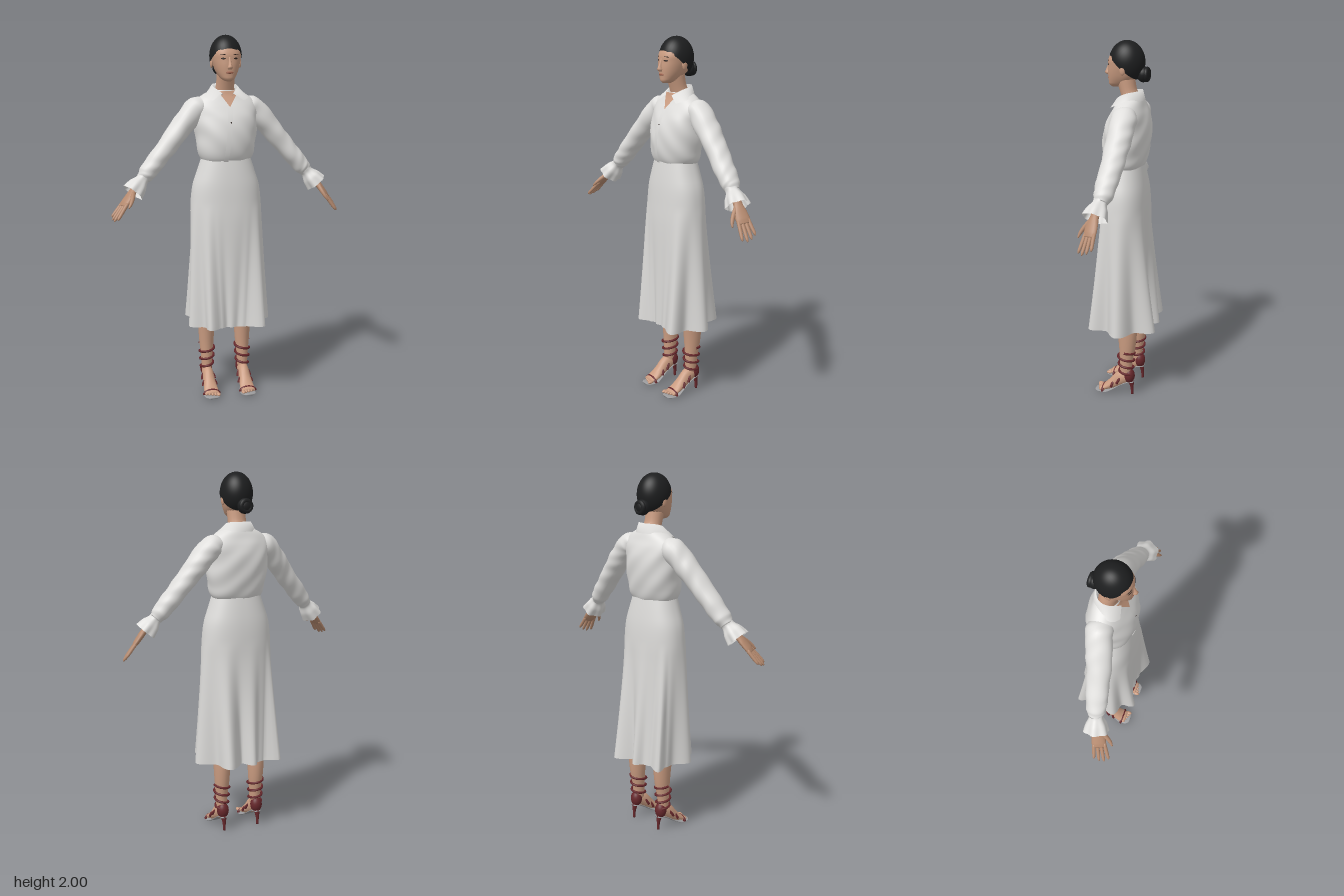
import * as THREE from 'three';

const mat = (name, color, double) => {
  const m = new THREE.MeshStandardMaterial({ color });
  m.name = name;
  if (double) m.side = THREE.DoubleSide;
  return m;
};
const V = (x, y, z) => new THREE.Vector3(x, y, z);

// Skin a list of point rows; closed rows wrap round, caps fill the two ends
function loft(rows, closed = true, caps = false) {
  const n = rows[0].length, pos = [], idx = [];
  rows.forEach(r => r.forEach(p => pos.push(p.x, p.y, p.z)));
  for (let i = 0; i < rows.length - 1; i++)
    for (let j = 0; j < (closed ? n : n - 1); j++) {
      const k = (j + 1) % n, a = i * n + j, b = i * n + k;
      idx.push(a, a + n, b, b, a + n, b + n);
    }
  if (caps) [0, rows.length - 1].forEach((i, end) => {
    const c = rows[i].reduce((s, p) => s.add(p), V(0, 0, 0)).divideScalar(n), ci = pos.length / 3;
    pos.push(c.x, c.y, c.z);
    for (let j = 0; j < n; j++) {
      const a = i * n + j, b = i * n + (j + 1) % n;
      if (end) idx.push(ci, b, a); else idx.push(ci, a, b);
    }
  });
  const g = new THREE.BufferGeometry();
  g.setAttribute('position', new THREE.Float32BufferAttribute(pos, 3));
  g.setIndex(idx);
  g.computeVertexNormals();
  return g;
}

// Tapered limb along points [x, y, z, radiusU, radiusV]
function limb(pts, { ref = V(0, 0, 1), seg = 24, sides = 18, mod = () => 1, caps = true } = {}) {
  const path = new THREE.CatmullRomCurve3(pts.map(p => V(p[0], p[1], p[2])));
  const rad = new THREE.CatmullRomCurve3(pts.map(p => V(p[3], p[4] ?? p[3], 0)));
  const rows = [];
  for (let i = 0; i <= seg; i++) {
    const t = i / seg, c = path.getPoint(t), r = rad.getPoint(t), T = path.getTangent(t);
    const U = T.clone().cross(ref).normalize(), W = U.clone().cross(T), row = [];
    for (let j = 0; j < sides; j++) {
      const a = j / sides * Math.PI * 2, s = mod(a, t);
      row.push(c.clone().addScaledVector(U, Math.cos(a) * r.x * s).addScaledVector(W, Math.sin(a) * r.y * s));
    }
    rows.push(row);
  }
  return loft(rows, true, caps);
}

// Upright body from levels [y, halfWidth, frontZ, backZ]
const POW = 0.88;
const profile = levels => {
  const it = new THREE.CubicInterpolant(new Float32Array(levels.map(l => l[0])),
    new Float32Array(levels.flatMap(l => l.slice(1))), 3, new Float32Array(3));
  return y => { const [w, f, b] = it.evaluate(y); return { w, zc: (f + b) / 2, rz: (f - b) / 2 }; };
};
const sPow = v => Math.sign(v) * Math.abs(v) ** POW;
function body(levels, { rows = 30, sides = 48, mod = p => p, caps = true } = {}) {
  const prof = profile(levels), y0 = levels[0][0], y1 = levels.at(-1)[0], out = [];
  for (let i = 0; i <= rows; i++) {
    const y = y0 + (y1 - y0) * i / rows, s = prof(y), row = [];
    for (let j = 0; j < sides; j++) {
      const a = j / sides * Math.PI * 2;
      row.push(mod(V(sPow(Math.cos(a)) * s.w, y, s.zc + sPow(Math.sin(a)) * s.rz), a));
    }
    out.push(row);
  }
  return loft(out, true, caps);
}

const fold = p => Math.sin(31 * p.x + 17 * p.y) * Math.sin(27 * p.y - 19 * p.z + 14 * p.x);

export function createModel() {
  const root = new THREE.Group();
  const skin = mat('skin', 0xca9c81), handSkin = mat('hand skin', 0xb58a6f), hair = mat('black hair', 0x1d1e1f);
  const shirt = mat('white shirt', 0xdfdedc, true), skirt = mat('white skirt', 0xdad9d7, true);
  const red = mat('dark red leather', 0x66272b), sole = mat('grey sole', 0x9c9c9e);
  const dark = mat('dark brown', 0x2c201c), lip = mat('lips', 0xa0634f);
  const add = (name, geo, m, parent = root) => {
    const mesh = new THREE.Mesh(geo, m);
    mesh.name = name;
    parent.add(mesh);
    return mesh;
  };
  const ball = (name, m, c, s, parent) => {
    const b = add(name, new THREE.SphereGeometry(1, 24, 16), m, parent);
    b.position.set(...c);
    b.scale.set(...s);
    return b;
  };

  // Head and face
  const head = new THREE.Group();
  head.name = 'head';
  root.add(head);
  add('face', body([[1.757, .014, .078, .03], [1.767, .032, .089, 0], [1.785, .046, .092, -.03], [1.81, .059, .094, -.06],
    [1.84, .069, .095, -.08], [1.87, .076, .093, -.09], [1.90, .079, .091, -.09], [1.94, .068, .073, -.08],
    [1.97, .045, .045, -.055]]), skin, head);
  add('nose', body([[1.818, .008, .1, .08], [1.827, .014, .114, .08], [1.84, .010, .112, .08], [1.86, .007, .103, .08],
    [1.885, .006, .094, .08]], { rows: 12, sides: 16 }), skin, head);
  ball('lips', lip, [0, 1.803, .0905], [.02, .007, .007], head);
  for (const s of [-1, 1]) {
    ball('eye', dark, [s * .032, 1.876, .084], [.014, .005, .005], head).rotation.y = s * .35;
    ball('eyebrow', dark, [s * .034, 1.896, .082], [.018, .0022, .005], head).rotation.set(0, s * .4, s * -.08);
    ball('ear', skin, [s * .078, 1.853, -.005], [.008, .027, .016], head);
  }
  const cap = new THREE.SphereGeometry(1, 40, 24, 0, Math.PI * 2, 0, 1.857);
  cap.rotateX(-.648).scale(.087, .112, .097).translate(0, 1.888, -.007);
  add('hair cap', cap, hair, head);
  ball('hair bun', hair, [-.008, 1.825, -.095], [.04, .042, .036], head);
  const coil = add('bun coil', new THREE.TorusGeometry(.027, .013, 10, 24), hair, head);
  coil.position.set(-.008, 1.825, -.115);
  add('neck', limb([[0, 1.63, -.035, .062, .05], [0, 1.69, -.03, .056, .048], [0, 1.74, -.015, .05, .045],
    [0, 1.80, 0, .05, .05]]), skin);

  // Shirt body, soft creases
  const torso = [[1.315, .122, .082, -.088], [1.345, .143, .10, -.105], [1.40, .159, .114, -.12], [1.48, .167, .115, -.13],
    [1.56, .171, .098, -.13], [1.62, .173, .07, -.118], [1.655, .158, .05, -.105], [1.685, .118, .035, -.095],
    [1.708, .07, .028, -.085]];
  add('shirt body', body(torso, {
    rows: 44, sides: 64, caps: false,
    mod: p => {
      const k = 1 + .035 * fold(p) * Math.min(1, Math.abs(1.70 - p.y) * 8);
      return V(p.x * k, p.y, p.z * k);
    },
  }), shirt);

  // Thin patch lying on the chest between two x limits
  const tProf = profile(torso);
  const patch = (y0, y1, lo, hi, lift) => {
    const rows = [];
    for (let i = 0; i <= 16; i++) {
      const y = y0 + (y1 - y0) * i / 16, s = tProf(y), row = [];
      for (let j = 0; j <= 8; j++) {
        const x = hi(y) + (lo(y) - hi(y)) * j / 8;
        row.push(V(x, y, s.zc + s.rz * (1 - Math.abs(x / s.w) ** (2 / POW)) ** (POW / 2) + lift));
      }
      rows.push(row);
    }
    return loft(rows, false);
  };
  const vee = y => Math.max(0, y - 1.62) * .68;
  add('open neckline', patch(1.62, 1.705, y => .006 - vee(y), y => .006 + vee(y), .005), skin);
  const slant = y => .006 + (y - 1.62) * .1;
  add('button placket', patch(1.33, 1.62, y => slant(y) - .012, y => slant(y) + .014, .006), shirt);
  const chest = tProf(1.54);
  ball('button', dark, [.004, 1.54, chest.zc + chest.rz + .005], [.004, .004, .003]);

  // Collar: rises at the nape and folds down to two front points
  const collar = [[], [], []];
  for (let j = 0; j <= 40; j++) {
    const u = j / 40 * 2 - 1, a = -Math.PI / 2 - u * 2.72, f = Math.abs(u) ** 3;
    const c = Math.cos(a), s = Math.sin(a);
    collar[0].push(V(c * (.086 + .12 * f), 1.69 - .035 * f, -.03 + s * (.075 + .022 * f)));
    collar[1].push(V(c * .07, 1.742 - .05 * f, -.03 + s * (.062 + .02 * f)));
    collar[2].push(V(c * .066, 1.69 - .02 * f, -.03 + s * (.06 + .015 * f)));
  }
  add('collar', loft(collar, false), shirt);

  // Flared skirt: hip sections blend into a hem with deep folds [degrees, radius]
  const hem = [[-5, .257], [18, .19], [41, .245], [60, .155], [75, .13], [88, .135], [100, .125], [112, .15], [126, .212],
    [145, .175], [163, .232], [190, .18], [206, .2], [219, .262], [232, .175], [246, .165], [261, .195], [280, .138],
    [301, .238], [328, .185], [355, .257]];
  const hemRadius = a => {
    let d = a * 180 / Math.PI;
    if (d > 355) d -= 360;
    const i = hem.findIndex(h => h[0] >= d), [d1, r1] = hem[Math.max(i, 1)], [d0, r0] = hem[Math.max(i, 1) - 1];
    return r0 + (r1 - r0) * (1 - Math.cos((d - d0) / (d1 - d0) * Math.PI)) / 2;
  };
  add('skirt', body([[.41, .203, .128, -.13], [.7, .203, .128, -.13], [1.0, .2, .127, -.13], [1.1, .196, .122, -.13],
    [1.2, .183, .115, -.123], [1.27, .16, .106, -.112], [1.355, .132, .092, -.095]], {
    rows: 40, sides: 120, caps: false,
    mod: (p, a) => {
      const f = Math.max(0, (1.1 - p.y) / .69) ** 1.15, r = hemRadius(a);
      return p.lerp(V(Math.cos(a) * r, p.y, Math.sin(a) * r), f);
    },
  }), skirt);

  // Arms: sleeve, ruffled cuff, hand
  const arm = (s, zs, wrist, tip) => {
    const g = new THREE.Group();
    g.name = s > 0 ? 'left arm' : 'right arm';
    root.add(g);
    const xy = [[.1, 1.632, .035, .05], [.158, 1.61, .063, .069], [.235, 1.53, .06, .068], [.31, 1.44, .054, .062],
      [.39, 1.345, .05, .058], [.445, 1.28, .046, .052], [.472, 1.248, .034, .036]];
    add('sleeve', limb(xy.map(([x, y, u, v], i) => [s * x, y, zs[i], u, v]), {
      seg: 48, sides: 28, mod: (a, t) => 1 + .045 * Math.sin(t * 34 + 2 * Math.sin(a + t * 5)) * Math.sin(a * 2 + t * 9),
    }), shirt, g);
    const z = zs[6], dz = wrist.z - z;
    add('ruffled cuff', limb([[s * .462, 1.26, z, .036, .04], [s * .474, 1.246, z + dz * .2, .034, .037],
      [s * .5, 1.215, z + dz * .6, .05, .055], [s * .528, 1.182, z + dz, .058, .066]], {
      seg: 16, sides: 48, caps: false, mod: (a, t) => 1 + .08 * t * Math.cos(a * 6),
    }), shirt, g);
    // Hand, thumb turned forward and slightly inward
    const D = tip.clone().sub(wrist).normalize(), S = V(-s * .4, 0, 1);
    S.addScaledVector(D, -D.dot(S)).normalize();
    const at = (d, w, ...r) => [...wrist.clone().addScaledVector(D, d).addScaledVector(S, w).toArray(), ...r];
    const handLimb = (name, pts, opts) => add(name, limb(pts, { ref: S, ...opts }), handSkin, g);
    handLimb('palm', [at(-.06, 0, .022, .026), at(0, 0, .018, .024), at(.05, .002, .017, .036), at(.09, 0, .015, .038),
      at(.115, 0, .01, .034)]);
    [.075, .092, .1, .09].forEach((len, k) => {
      const w = (k - 1.5) * .018;
      handLimb('finger', [at(.095, w, .01), at(.105 + len * .5, w * 1.2, .0095), at(.105 + len * .9, w * 1.35, .008),
        at(.11 + len, w * 1.4, .003)], { seg: 10, sides: 10 });
    });
    handLimb('thumb', [at(.025, .015, .014), at(.06, .042, .012), at(.095, .06, .009), at(.12, .066, .004)],
      { seg: 10, sides: 10 });
  };
  arm(-1, [-.02, -.02, .005, .03, .05, .065, .07], V(-.52, 1.2, .095), V(-.64, 1.05, .165));
  arm(1, [-.035, -.04, -.04, -.038, -.03, -.025, -.02], V(.525, 1.195, -.008), V(.645, 1.03, .008));

  // Legs, feet and heeled sandals
  for (const s of [-1, 1]) {
    const x = s * .105, up = V(0, 1, 0), g = new THREE.Group();
    g.name = s > 0 ? 'left leg' : 'right leg';
    root.add(g);
    add('leg', limb([[s * .09, .85, -.005, .075, .085], [s * .1, .6, -.01, .055, .06], [x, .44, -.038, .049, .06],
      [x, .3, -.042, .042, .048], [x, .2, -.035, .033, .037], [x, .14, -.033, .029, .033], [x, .09, -.03, .026, .03]]), skin, g);
    add('foot', limb([[x, .11, -.075, .012, .016], [x, .11, -.06, .026, .032], [x, .1, -.015, .031, .042],
      [x, .058, .04, .035, .031], [x, .029, .088, .041, .017], [x, .022, .118, .036, .009]], { ref: up }), skin, g);
    for (let k = 0; k < 5; k++)
      ball('toe', skin, [x - s * (2 - k) * .0165, .02, .126 - k * .006], [k ? .008 : .011, .009, .018], g);
    add('sole', limb([[x, .08, -.08, .018, .005], [x, .076, -.045, .025, .005], [x, .055, -.005, .024, .005],
      [x, .022, .045, .033, .005], [x, .0065, .085, .045, .005], [x, .0065, .125, .042, .005], [x, .0065, .146, .025, .005]],
      { ref: up }), sole, g);
    add('stiletto heel', limb([[x, 0, -.072, .007], [x, .04, -.071, .009], [x, .075, -.066, .016, .015],
      [x, .095, -.058, .025, .023]]), red, g);
    ball('heel cup', red, [x, .115, -.053], [.034, .045, .033], g);
    // Strap winding up the ankle
    const coilPts = [];
    for (let i = 0; i <= 60; i++) {
      const t = i / 60, a = t * Math.PI * 6.5, k = .036 + .01 * t;
      coilPts.push(V(x + s * Math.sin(a) * (k - .002), .125 + .145 * t, -.036 - Math.cos(a) * (k + .003)));
    }
    add('ankle strap', new THREE.TubeGeometry(new THREE.CatmullRomCurve3(coilPts), 120, .0068, 8), red, g);
    // Straps across the foot
    for (const [y, z, w, h, tilt] of [[.07, .012, .037, .048, -.5], [.045, .045, .039, .039, -.35], [.012, .096, .044, .027, 0]]) {
      const strap = add('foot strap', new THREE.TorusGeometry(1, .18, 8, 28, Math.PI), red, g);
      strap.position.set(x, y, z);
      strap.scale.set(w, h, .042);
      strap.rotation.x = tilt;
    }
  }
  return root;
}
